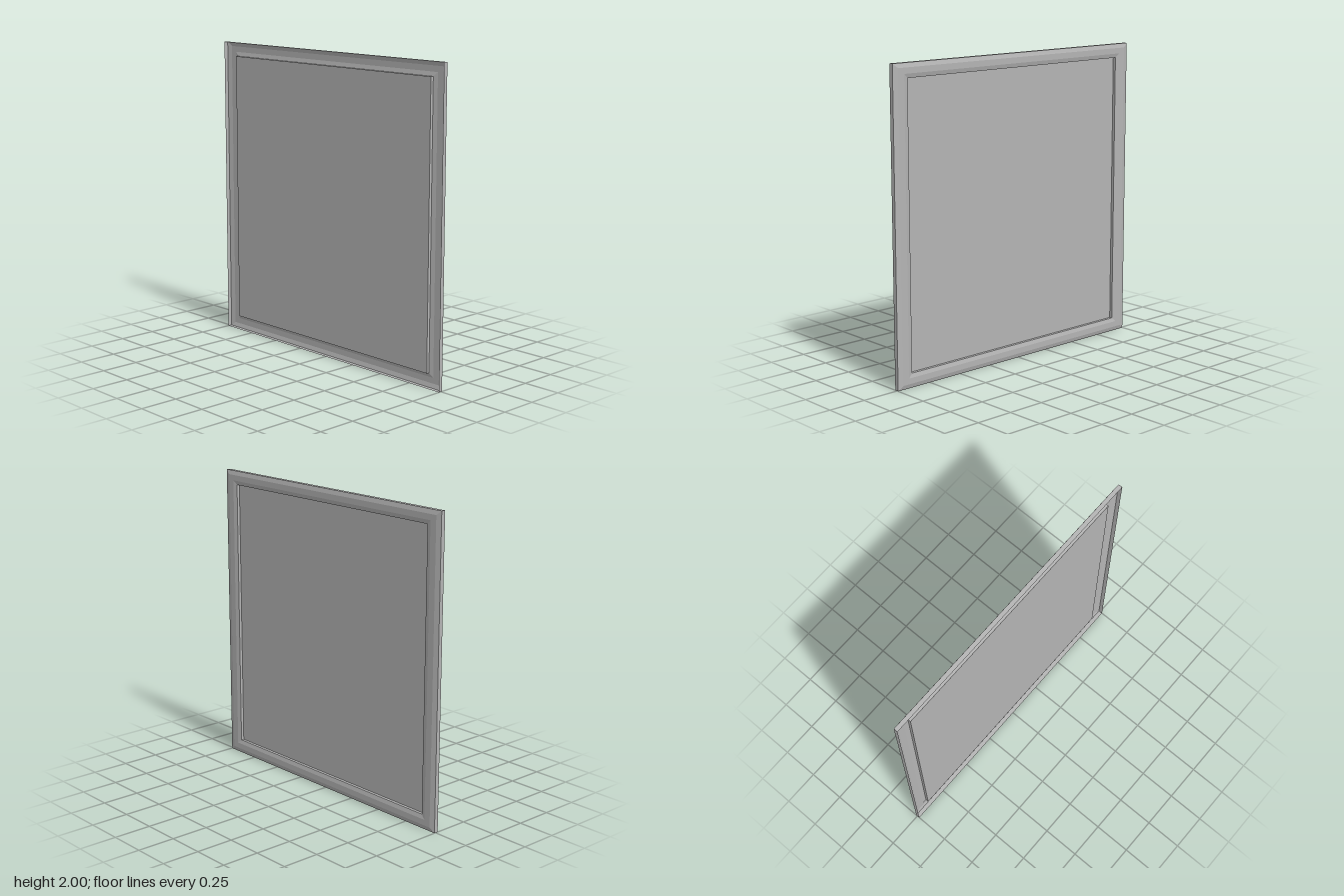
import * as THREE from 'three';

// Corners of a rectangular ring, inset from the 2 x 2 outline, at depth z
function ring([insetX, insetY, z]) {
  const x = 1 - insetX, lo = insetY, hi = 2 - insetY;
  return [[-x, lo, z], [x, lo, z], [x, hi, z], [-x, hi, z]];
}

// Mitred band of four flat faces joining neighbouring rings of a profile
function mitredBand(profile) {
  const points = [];
  for (let k = 0; k < profile.length - 1; k++) {
    const a = ring(profile[k]), b = ring(profile[k + 1]);
    for (let i = 0; i < 4; i++) {
      const j = (i + 1) % 4;
      points.push(...a[i], ...a[j], ...b[j], ...a[i], ...b[j], ...b[i]);
    }
  }
  const geometry = new THREE.BufferGeometry();
  geometry.setAttribute('position', new THREE.Float32BufferAttribute(points, 3));
  geometry.computeVertexNormals();
  return geometry;
}

export function createModel() {
  const group = new THREE.Group();
  group.name = 'pressedPanel';
  const grey = new THREE.MeshStandardMaterial({ color: 0xb4b4b4, side: THREE.DoubleSide });
  grey.name = 'grey';

  const add = (name, geometry) => {
    const mesh = new THREE.Mesh(geometry, grey);
    mesh.name = name;
    group.add(mesh);
    return mesh;
  };

  // Thin wall round the outside
  add('outerRim', mitredBand([[0, 0, 0.018], [0, 0, -0.01]]));

  // Shallow moulded channel, bulging towards the back
  add('frameMoulding', mitredBand([
    [0, 0, -0.01], [0.035, 0.028, -0.018], [0.08, 0.065, -0.018], [0.11, 0.092, -0.011],
  ]));

  // Step up to the centre panel
  add('panelStep', mitredBand([[0.11, 0.092, -0.011], [0.11, 0.092, 0.009]]));

  // Flat centre panel
  const panel = add('centrePanel', new THREE.PlaneGeometry(1.78, 1.816));
  panel.position.set(0, 1, 0.009);

  return group;
}
